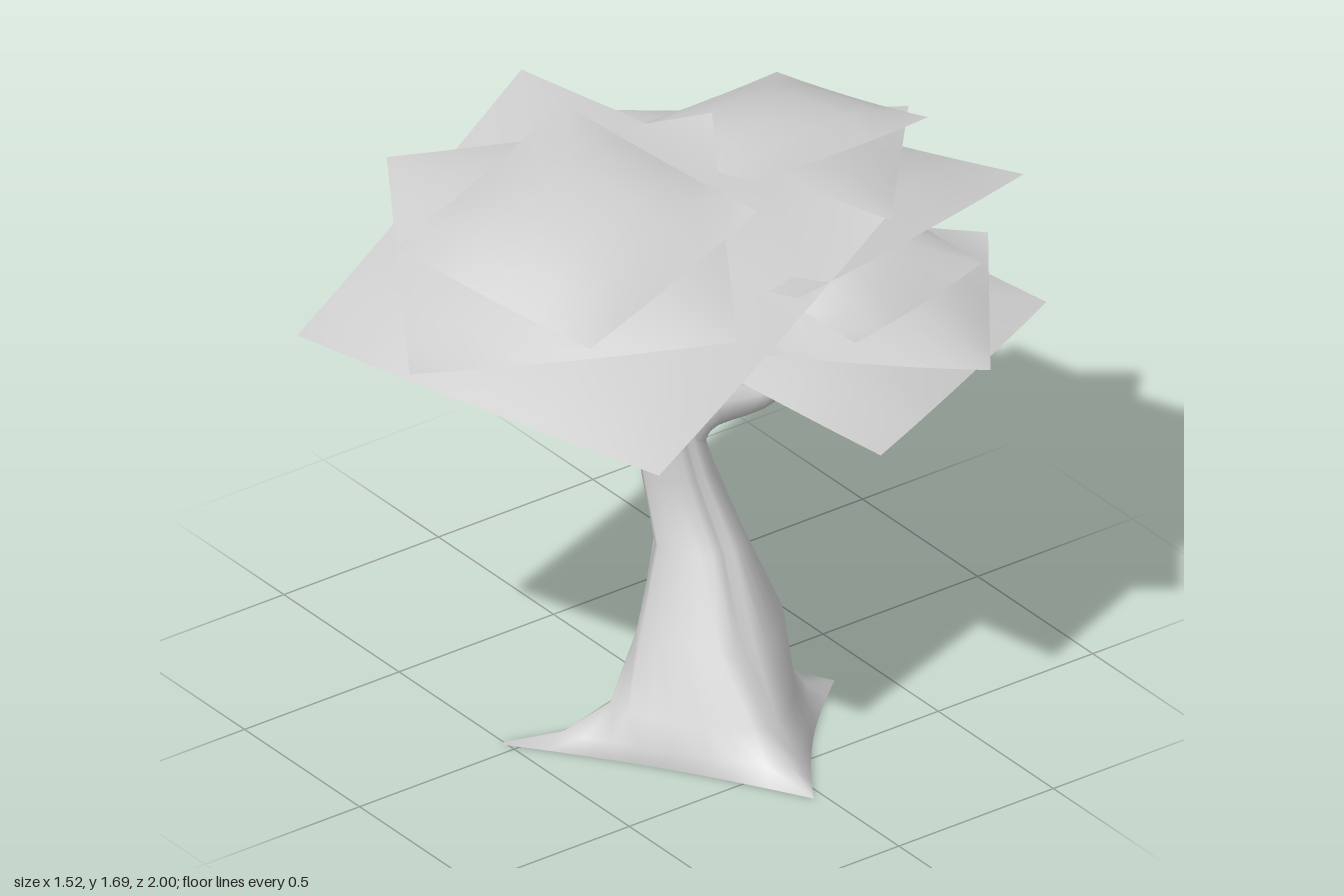
import * as THREE from 'three';

const material = new THREE.MeshStandardMaterial({ color: 0xcccccc });
const leafMaterial = new THREE.MeshStandardMaterial({ color: 0xcccccc, side: THREE.DoubleSide });

// Skin a list of rings (arrays of Vector3 with equal length) into a closed-around surface.
function loft(rings) {
  const n = rings[0].length;
  const index = [];
  for (let i = 0; i < rings.length - 1; i++) {
    for (let j = 0; j < n; j++) {
      const a = i * n + j, b = i * n + (j + 1) % n;
      index.push(a, b, a + n, b, b + n, a + n);
    }
  }
  const geometry = new THREE.BufferGeometry().setFromPoints(rings.flat());
  geometry.setIndex(index);
  geometry.computeVertexNormals();
  return geometry;
}

function named(geometry, name, mat = material) {
  const mesh = new THREE.Mesh(geometry, mat);
  mesh.name = name;
  return mesh;
}

// Three-cornered section: sides swell outwards by bulge (0 = straight, 1 = almost round).
function section(y, corners, bulge, perSide = 8) {
  const points = corners.map(([x, z]) => new THREE.Vector3(x, y, z));
  const centre = new THREE.Vector3();
  points.forEach(p => centre.addScaledVector(p, 1 / 3));
  return points.flatMap((p, i) => Array.from({ length: perSide }, (_, j) => {
    const s = j / perSide;
    const q = p.clone().lerp(points[(i + 1) % 3], s);
    return q.sub(centre).multiplyScalar(1 + bulge * 4 * s * (1 - s)).add(centre);
  }));
}

// Oval section, with its corners in line with the three roots.
function oval(y, cx, cz, rx, rz) {
  const corners = [-2, 0, 2].map(k => {
    const t = k * Math.PI / 3;
    return [cx + rx * Math.cos(t), cz - rz * Math.sin(t)];
  });
  return section(y, corners, 1);
}

// Trunk: a triangular foot with three pointed roots, rounding off as it rises.
function trunkGeometry() {
  const tips = [[-0.05, 0.52], [0.67, 0.03], [0.21, -0.38]];
  return loft([
    oval(0.03, 0.25, 0.05, 0, 0),
    section(0.012, tips, -0.1),
    section(0.012, tips, -0.1),
    section(0.06, [[0.07, 0.4], [0.58, 0.03], [0.2, -0.29]], 0.1),
    section(0.13, [[0.12, 0.28], [0.47, 0.03], [0.2, -0.2]], 0.42),
    section(0.31, [[0.1, 0.15], [0.35, 0.02], [0.18, -0.17]], 0.8),
    oval(0.52, 0.105, -0.03, 0.095, 0.112),
    oval(0.7, 0.037, -0.01, 0.075, 0.092),
    oval(0.87, 0.008, 0.015, 0.063, 0.078),
    oval(1.0, 0, 0.05, 0.046, 0.06),
    oval(1.1, 0, 0.09, 0.04, 0.058),
    oval(1.16, -0.005, 0.12, 0.03, 0.045),
    oval(1.18, -0.005, 0.13, 0, 0),
  ]);
}

// Branch: a tapering tube; each point is x, y, z, radius.
function branchGeometry(points) {
  const curve = new THREE.CatmullRomCurve3(points.map(p => new THREE.Vector3(p[0], p[1], p[2])));
  const steps = 16, sides = 8;
  const { normals, binormals } = curve.computeFrenetFrames(steps);
  const rings = [];
  for (let i = 0; i <= steps; i++) {
    const u = curve.getUtoTmapping(i / steps) * (points.length - 1);
    const k = Math.min(Math.floor(u), points.length - 2);
    const radius = THREE.MathUtils.lerp(points[k][3], points[k + 1][3], u - k);
    const centre = curve.getPointAt(i / steps);
    rings.push(Array.from({ length: sides }, (_, j) => {
      const t = j / sides * Math.PI * 2;
      return centre.clone()
        .addScaledVector(normals[i], Math.cos(t) * radius)
        .addScaledVector(binormals[i], Math.sin(t) * radius);
    }));
  }
  return loft(rings);
}

// Leaf sheet: a four-cornered patch with nearly straight edges and a raised middle.
function sheetGeometry(corners, dome = 0.07, sag = 0.008) {
  const geometry = new THREE.PlaneGeometry(2, 2, 6, 6);
  const position = geometry.attributes.position;
  const [A, B, C, D] = corners.map(p => new THREE.Vector3(...p));
  for (let i = 0; i < position.count; i++) {
    const u = position.getX(i), v = position.getY(i);
    const s = (u + 1) / 2, t = (v + 1) / 2;
    const p = A.clone().lerp(B, s).lerp(D.clone().lerp(C, s), t);
    const uu = Math.max(0, 1 - u * u), vv = Math.max(0, 1 - v * v);
    p.y += dome * (uu * vv) ** 0.65 - sag * (u * u * vv + v * v * uu);
    position.setXYZ(i, p.x, p.y, p.z);
  }
  geometry.computeVertexNormals();
  return geometry;
}

const branches = {
  frontBranch: [[0, 1.05, 0.075, 0.042], [-0.01, 1.14, 0.16, 0.036], [-0.03, 1.14, 0.28, 0.026],
    [-0.05, 1.25, 0.3, 0.018], [-0.06, 1.42, 0.31, 0.012]],
  backBranch: [[0.03, 0.74, 0, 0.06], [0.045, 0.85, -0.055, 0.062], [0.1, 0.875, -0.25, 0.034],
    [0.15, 0.99, -0.325, 0.028], [0.22, 1.17, -0.35, 0.012], [0.23, 1.19, -0.355, 0.002]],
  sideBranch: [[0, 1.1, 0.1, 0.04], [-0.03, 1.19, 0.06, 0.03], [-0.1, 1.235, -0.05, 0.022],
    [-0.19, 1.25, -0.21, 0.016], [-0.2, 1.32, -0.25, 0.01]],
};

// Each clump is a stack of three sheets, widest at the bottom.
const clumps = {
  frontFoliage: [
    [[-0.64, 1.58, 0], [-0.27, 1.3, 1], [0.75, 1.21, 0.59], [0.39, 1.47, -0.41]],
    [[-0.54, 1.54, 0.51], [0.15, 1.36, 0.95], [0.62, 1.43, 0.24], [-0.08, 1.64, -0.2]],
    [[-0.27, 1.7, 0.14], [-0.15, 1.54, 0.77], [0.49, 1.48, 0.62], [0.37, 1.62, -0.01]],
  ],
  backFoliage: [
    [[-0.76, 1.17, -0.76], [-0.46, 1.29, 0.2], [0.52, 1.42, -0.03], [0.2, 1.31, -1]],
    [[-0.68, 1.33, -0.32], [-0.1, 1.41, 0.17], [0.4, 1.47, -0.42], [-0.18, 1.37, -0.91]],
    [[-0.47, 1.41, -0.7], [-0.43, 1.44, -0.11], [0.16, 1.56, -0.16], [0.12, 1.53, -0.75]],
  ],
  sideFoliage: [
    [[0.42, 1.06, -0.91], [-0.37, 1.25, -0.58], [-0.04, 1.23, 0.2], [0.76, 1.03, -0.12]],
    [[0.7, 1.12, -0.52], [0.22, 1.19, -0.87], [-0.1, 1.3, -0.35], [0.38, 1.2, 0]],
    [[0.41, 1.24, -0.71], [-0.09, 1.34, -0.6], [0.03, 1.33, -0.1], [0.53, 1.23, -0.21]],
  ],
};

export function createModel() {
  const tree = new THREE.Group();
  tree.name = 'tree';
  tree.add(named(trunkGeometry(), 'trunk'));
  for (const [name, points] of Object.entries(branches)) {
    tree.add(named(branchGeometry(points), name));
  }
  for (const [name, sheets] of Object.entries(clumps)) {
    const clump = new THREE.Group();
    clump.name = name;
    sheets.forEach((corners, i) =>
      clump.add(named(sheetGeometry(corners), `leafSheet${i + 1}`, leafMaterial)));
    tree.add(clump);
  }
  return tree;
}
